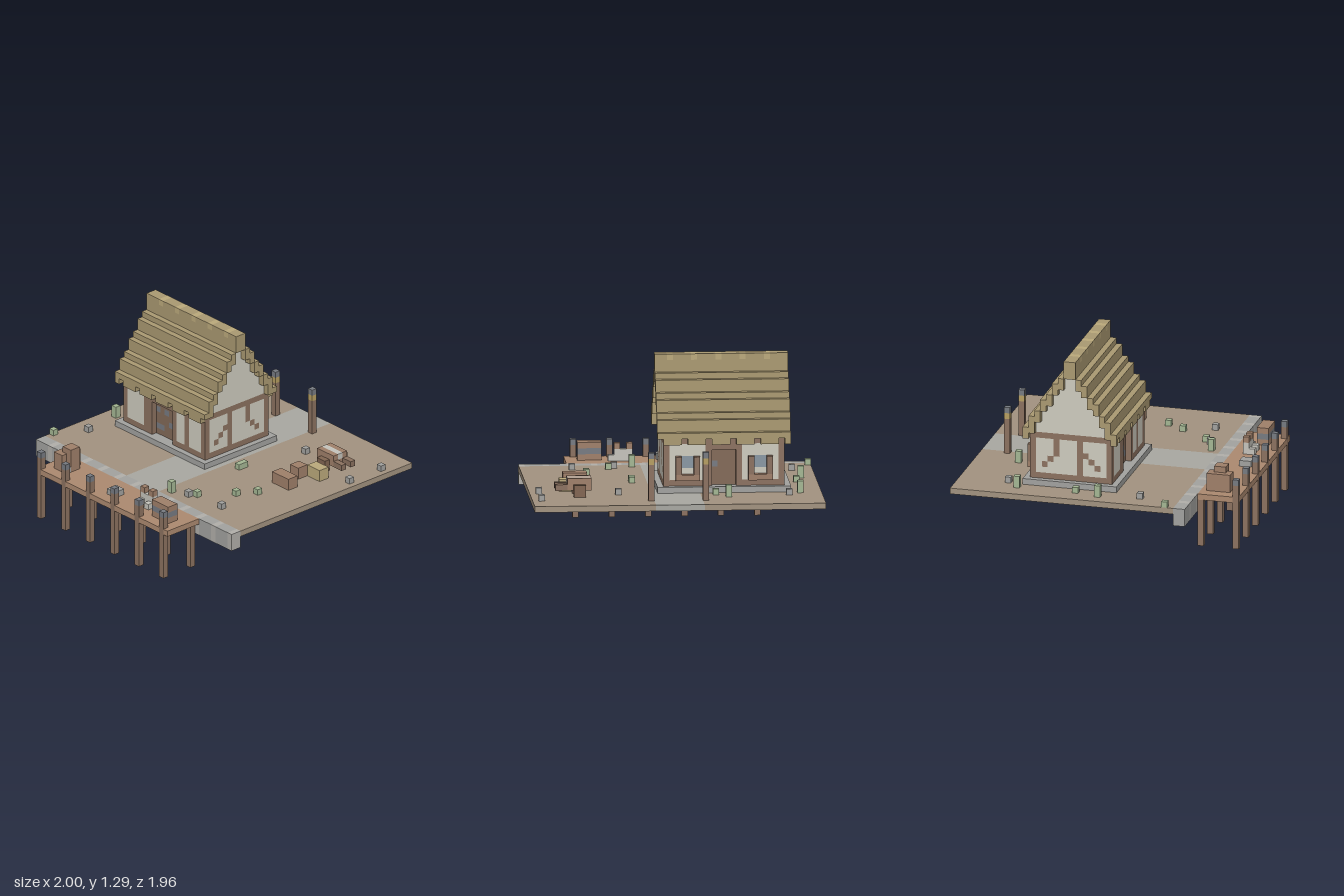
import * as THREE from 'three';
import { mergeGeometries } from 'three/addons/utils/BufferGeometryUtils.js';

// Everything is made of blocks: x in blocks from the centre, y up, k = blocks from the back edge.
const U = 1 / 24, BACK = 23.5;
const C = {
  earth: 0xa39380, path: 0xa9a8a2, stone: 0xa3a3a0, paleStone: 0xb2b0ab, plaster: 0xcfccbf,
  timber: 0x8c7260, door: 0x836a58, roof: 0xab9a72, straw: 0xbcaa7c, plank: 0xad8a70,
  crate: 0xa0806a, iron: 0x777b82, leaf: 0xa5b894, glass: 0x8a98a4, lamp: 0xb79f62, cloth: 0xc6c4bd, dark: 0x826652,
};

// The five visible block faces; blocks have no underside
const face = (turn, angle, dir) => ({ dir, shape: new THREE.PlaneGeometry(1, 1)[turn](angle).translate(...dir.map(d => d / 2)) });
const FACES = [
  face('rotateY', Math.PI / 2, [1, 0, 0]), face('rotateY', -Math.PI / 2, [-1, 0, 0]),
  face('rotateY', 0, [0, 0, 1]), face('rotateY', Math.PI, [0, 0, -1]), face('rotateX', -Math.PI / 2, [0, 1, 0])];

const key = (x, y, k) => `${x},${y},${k}`;

function forCells([x0, x1, y0, y1, k0, k1], visit) {
  for (let x = x0; x < x1; x++)
    for (let y = y0; y < y1; y++)
      for (let k = k0; k < k1; k++) visit(x, y, k);
}

// A world of blocks, in which later parts replace earlier ones
class Blocks {
  cells = new Map();
  parts = [];

  add(parent, name, color, boxes) {
    const part = { parent, name, color };
    this.parts.push(part);
    for (const b of boxes) forCells(b, (x, y, k) => this.cells.set(key(x, y, k), { part, at: [x, y, k] }));
  }

  carve(boxes) {
    for (const b of boxes) forCells(b, (x, y, k) => this.cells.delete(key(x, y, k)));
  }

  // Skins each part with its exposed faces only
  build() {
    const skins = new Map(this.parts.map(p => [p, []]));
    for (const { part, at: [x, y, k] } of this.cells.values())
      for (const { dir, shape } of FACES)
        if (!this.cells.has(key(x + dir[0], y + dir[1], k + dir[2])))
          skins.get(part).push(shape.clone().translate(x + 0.5, y + 0.5, k + 0.5 - BACK));
    for (const [part, quads] of skins) {
      const mesh = new THREE.Mesh(
        mergeGeometries(quads).scale(U, U, U),
        new THREE.MeshStandardMaterial({ color: part.color, flatShading: true, side: THREE.DoubleSide }));
      mesh.name = part.name;
      part.parent.add(mesh);
    }
  }
}

function group(parent, name) {
  const g = new THREE.Group();
  g.name = name;
  parent.add(g);
  return g;
}

function layGround(w, root) {
  const g = group(root, 'ground');
  w.add(g, 'earth', C.earth, [[-24, 24, 8, 9, 0, 38]]);
  w.add(g, 'path', C.path, [[-4, 4, 8, 9, 0, 38]]);
  w.add(g, 'quayWall', C.stone, [[-24, 24, 6, 9, 38, 40]]);
  const pale = [];
  for (let x = -21; x < 24; x += 4) pale.push([x, x + 1, 6, 9, 38, 40]);
  w.add(g, 'quayPaleStones', C.paleStone, pale);
}

function buildDock(w, root) {
  const g = group(root, 'dock');
  const xs = [-16, -10, -4, 2, 8, 14];
  w.add(g, 'deck', C.plank, [[-16, 16, 8, 9, 40, 47]]);
  w.add(g, 'frontPosts', C.timber, xs.map(x => [x, x + 1, 0, 11, 46, 47]));
  w.add(g, 'postCaps', C.iron, xs.map(x => [x, x + 1, 11, 12, 46, 47]));
  w.add(g, 'backPosts', C.timber, xs.map(x => [x, x + 1, 0, 8, 40, 41]));
  // Cargo
  w.add(g, 'crates', C.crate, [[-14, -12, 9, 12, 41, 45], [-13, -11, 9, 13, 42, 44]]);
  w.add(g, 'stones', C.stone, [[-12, -11, 9, 10, 44, 45], [-1, 1, 9, 10, 43, 45]]);
  w.add(g, 'fishingNet', C.cloth, [[5, 8, 9, 11, 42, 43], [8, 9, 9, 10, 42, 43], [5, 6, 9, 10, 43, 44], [7, 8, 9, 10, 43, 44]]);
  w.add(g, 'netPegs', C.crate, [[5, 6, 11, 12, 42, 43], [7, 8, 11, 12, 42, 43]]);
  w.add(g, 'barrel', C.crate, [[10, 14, 9, 12, 43, 45]]);
  w.add(g, 'barrelBand', C.iron, [[10, 14, 10, 11, 43, 45]]);
}

function buildHouse(w, root) {
  const g = group(root, 'house');
  // Each roof column, from the eave inwards, with its top height
  const tops = [19, 21, 22, 24, 25, 27, 28];
  const under = j => (j < 2 ? 18 : tops[j] - 2);
  const columns = tops.flatMap((top, j) => [[26 - j, j, top], [11 + j, j, top]]);
  w.add(g, 'foundation', C.stone, [[-19, 3, 9, 10, 11, 27]]);

  // Plaster walls and stepped gables
  w.add(g, 'plasterWalls', C.plaster, [
    [-18, 2, 10, 18, 12, 26], [-18, 2, 18, 28, 18, 20], ...columns.map(([k, j]) => [-18, 2, 18, under(j), k, k + 1])]);

  // Timber frame: corners, rails, studs, braces and door frames
  const frame = [];
  for (const x of [-18, 1]) {
    for (const k of [12, 20, 25]) frame.push([x, x + 1, 10, 18, k, k + 1]);
    for (const y of [10, 17]) frame.push([x, x + 1, y, y + 1, 12, 26]);
    for (let n = 0; n < 3; n++)
      frame.push([x, x + 1, 12 + n, 13 + n, 23 - n, 24 - n], [x, x + 1, 12 + n, 13 + n, 14 + n, 15 + n]);
    frame.push([x, x + 1, 14, 18, 16, 17]);
  }
  for (const k of [12, 25]) frame.push([-18, 2, 17, 18, k, k + 1], [-18, 2, 10, 11, k, k + 1]);
  frame.push([-13, -5, 10, 17, 25, 26], [-3, -2, 10, 18, 25, 26], [-11, -5, 10, 17, 12, 13]);
  w.add(g, 'timberFrame', C.timber, frame);

  // Recessed doors
  w.carve([[-11, -6, 10, 16, 25, 26], [-10, -6, 10, 16, 12, 13]]);
  w.add(g, 'doors', C.door, [[-11, -6, 10, 16, 24, 25], [-10, -6, 10, 16, 13, 14]]);
  w.add(g, 'doorFittings', C.iron, [
    [-11, -10, 14, 15, 24, 25], [-9, -8, 14, 15, 24, 25], [-7, -6, 11, 12, 24, 25],
    [-8, -7, 12, 13, 24, 25], [-11, -9, 11, 12, 24, 25], [-7, -6, 13, 14, 13, 14]]);

  // Back windows with shutters and flower boxes
  const mids = [-14, -2];
  w.add(g, 'windowPanes', C.glass, mids.map(x => [x - 1, x + 1, 13, 15, 12, 13]));
  w.add(g, 'shutters', C.timber, mids.flatMap(x => [[x - 2, x - 1, 12, 15, 11, 12], [x + 1, x + 2, 12, 15, 11, 12]]));
  w.add(g, 'flowerBoxes', C.crate, mids.map(x => [x - 2, x + 2, 11, 12, 11, 12]));

  // Stepped thatch with a ragged eave and a tall ridge
  const thatch = [[-19, 3, 28, 31, 18, 20], ...columns.map(([k, j, top]) => [-19, 3, under(j), top, k, k + 1])];
  for (const k of [11, 26]) {
    thatch.push([-19, -18, 17, 18, k, k + 1]);
    for (let x = -17; x < 3; x += 4) thatch.push([x, x + 3, 17, 18, k, k + 1]);
  }
  w.add(g, 'thatchedRoof', C.roof, thatch);
  w.add(g, 'ridgeTies', C.straw, [-16, -12, -8, -4, 0].map(x => [x, x + 1, 30, 31, 18, 20]));
}

function buildYard(w, root) {
  const g = group(root, 'yard');
  // Lamp posts beside the path
  for (const x of [-5, 4]) {
    const lamp = group(g, 'lampPost');
    w.add(lamp, 'post', C.timber, [[x, x + 1, 9, 15, 4, 5]]);
    w.add(lamp, 'light', C.lamp, [[x, x + 1, 15, 16, 4, 5]]);
    w.add(lamp, 'cap', C.iron, [[x, x + 1, 16, 17, 4, 5]]);
  }
  // Handcart
  const cart = group(g, 'cart');
  w.add(cart, 'bed', C.crate, [[14, 18, 10, 12, 9, 12]]);
  w.add(cart, 'load', C.cloth, [[14, 18, 11, 12, 10, 11]]);
  w.add(cart, 'wheels', C.dark, [[15, 17, 9, 11, 8, 9], [15, 17, 9, 11, 12, 13]]);
  w.add(cart, 'handles', C.timber, [[18, 20, 10, 11, 9, 10], [18, 20, 10, 11, 11, 12]]);
  // Crates and hay
  w.add(g, 'crates', C.crate, [[14, 16, 9, 11, 16, 18], [14, 18, 9, 11, 20, 22]]);
  w.add(g, 'hayBale', C.straw, [[16, 19, 9, 11, 14, 16]]);
  // Loose stones and plants: [x, k, height]
  const blocks = list => list.map(([x, k, h = 1]) => [x, x + 1, 9, 9 + h, k, k + 1]);
  w.add(g, 'stones', C.stone, blocks([[-19, 8], [9, 10], [22, 5], [22, 12], [-21, 31], [8, 35], [15, 34], [16, 13]]));
  w.add(g, 'plants', C.leaf, blocks([[-9, 7, 2], [-7, 9], [-21, 10, 2], [-21, 20], [-22, 24, 2], [-24, 36], [6, 21], [6, 22],
    [15, 26], [13, 29], [9, 34], [5, 36, 2]]));
}

export function createModel() {
  const root = new THREE.Group();
  root.name = 'waterfrontCottage';
  const world = new Blocks();
  for (const make of [layGround, buildDock, buildHouse, buildYard]) make(world, root);
  world.build();
  return root;
}
